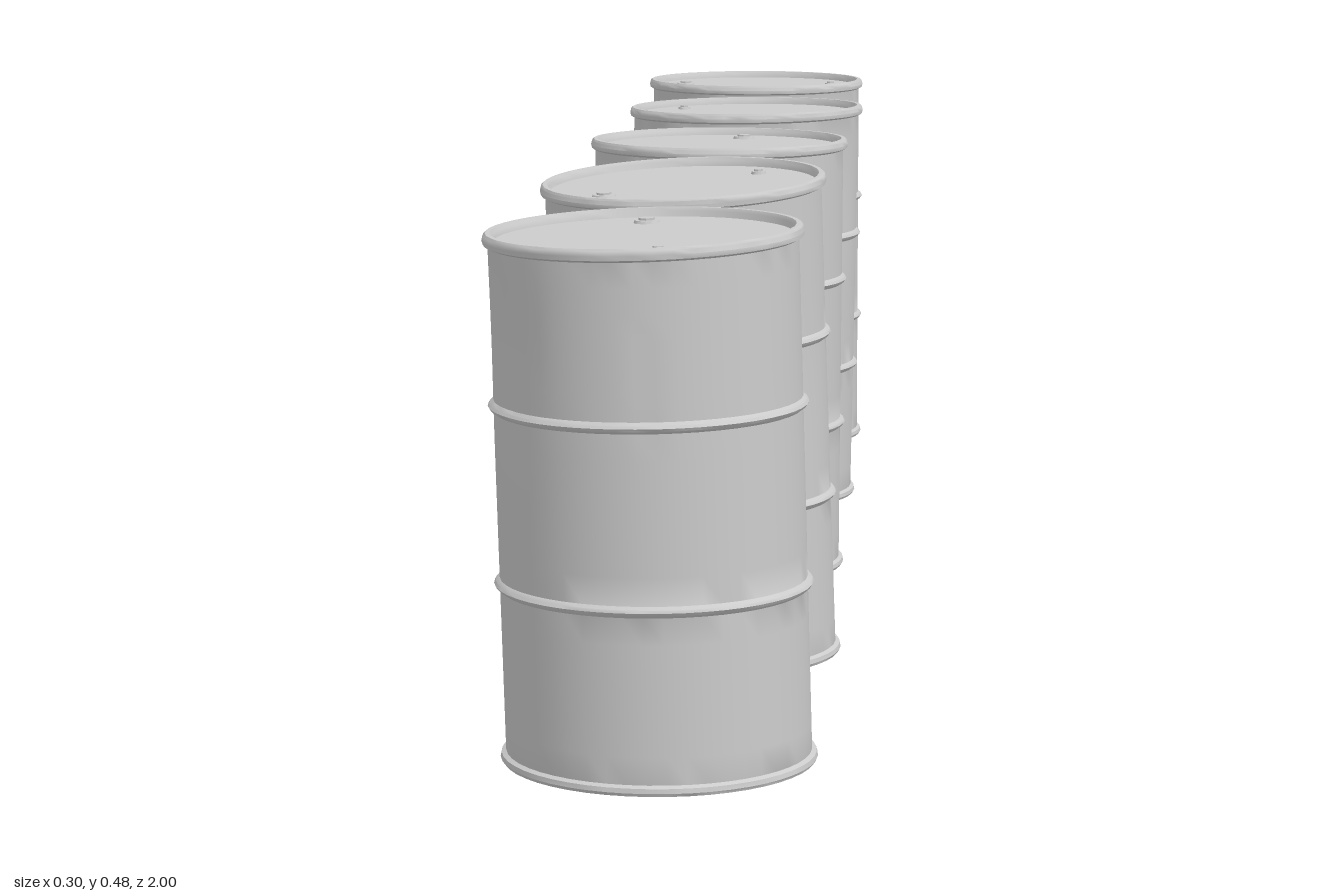
import * as THREE from 'three';
import { toCreasedNormals } from 'three/addons/utils/BufferGeometryUtils.js';

const HEIGHT = 0.467, LID = 0.459;
const RIBS = [0.158, 0.315];

// z: centre; base/top: sideways shift [x, z] at floor and lid; tilt: lid slope [x, z]
// bung/vent: cap positions on the lid; dents: [angle, height, depth, angular spread, height spread]
const DRUMS = [
  { z: -0.861, base: [0, 0], top: [0, 0], tilt: [0, 0],
    bung: [-0.092, 0.004], vent: [0.097, 0.0], dents: [] },
  { z: -0.43, base: [0.002, 0], top: [0.01, 0.002], tilt: [0.01, 0.005],
    bung: [0.08, 0.06], vent: [-0.078, -0.052], dents: [[0.6, 0.4, 0.004, 0.4, 0.07]] },
  { z: 0.003, base: [0, 0], top: [0.003, 0], tilt: [0, 0.005],
    bung: [0.022, -0.085], vent: [-0.022, 0.097], dents: [[-2.6, 0.39, 0.007, 0.35, 0.08]] },
  { z: 0.43, base: [0.009, -0.003], top: [-0.007, 0.004], tilt: [0.04, -0.05],
    bung: [-0.072, 0.056], vent: [0.07, -0.064], dents: [[0.9, 0.3, 0.004, 0.5, 0.1]] },
  { z: 0.857, base: [0.001, 0], top: [-0.012, 0.003], tilt: [0.03, -0.02],
    bung: [-0.004, -0.09], vent: [0.02, 0.096], dents: [[-0.7, 0.4, 0.006, 0.35, 0.07], [2.6, 0.38, 0.004, 0.3, 0.06]] },
];

// Outline from the centre of the floor, up the wall, to the centre of the lid
function drumProfile() {
  const p = [[0, 0.004], [0.129, 0.004], [0.131, 0], [0.137, 0], [0.139, 0.003], [0.138, 0.007], [0.134, 0.009]];
  let from = 0.009;
  for (const end of [...RIBS, LID + 0.001]) {
    const to = end - 0.005;
    for (let i = 1; i <= 6; i++) p.push([0.134, from + (to - from) * i / 6]);
    if (RIBS.includes(end)) {
      p.push([0.1375, end - 0.0025], [0.139, end], [0.1375, end + 0.0025], [0.134, end + 0.005]);
    }
    from = end + 0.005;
  }
  p.push([0.138, 0.457], [0.139, 0.461], [0.138, 0.465], [0.136, HEIGHT], [0.132, HEIGHT], [0.13, 0.464], [0.129, LID], [0, LID]);
  return p.map(([r, y]) => new THREE.Vector2(r, y));
}

// Lean, tilt and dent a geometry given in the drum's own coordinates
function batter(geometry, drum) {
  const pos = geometry.attributes.position;
  for (let i = 0; i < pos.count; i++) {
    let x = pos.getX(i), y = pos.getY(i), z = pos.getZ(i);
    const t = y / HEIGHT, r = Math.hypot(x, z), angle = Math.atan2(z, x);
    const lift = (drum.tilt[0] * x + drum.tilt[1] * z) * t * t;
    let push = 0;
    for (const [a, h, depth, spread, rise] of drum.dents) {
      const da = Math.atan2(Math.sin(angle - a), Math.cos(angle - a)) / spread;
      const dh = (y - h) / rise;
      push += depth * Math.exp(-da * da - dh * dh);
    }
    if (r > 0.12) {
      x *= 1 - push / r;
      z *= 1 - push / r;
    }
    x += drum.base[0] * (1 - t) + drum.top[0] * t;
    z += drum.base[1] * (1 - t) + drum.top[1] * t;
    pos.setXYZ(i, x, y + lift, z);
  }
  return toCreasedNormals(geometry, 0.7);
}

export function createModel() {
  const model = new THREE.Group();
  model.name = 'drumRow';
  const steel = new THREE.MeshStandardMaterial({ color: 0xcccccc });
  const profile = drumProfile();

  DRUMS.forEach((drum, n) => {
    const group = new THREE.Group();
    group.name = `drum${n + 1}`;
    group.position.z = drum.z;
    const add = (name, geometry) => {
      const mesh = new THREE.Mesh(batter(geometry, drum), steel);
      mesh.name = name;
      group.add(mesh);
    };

    // Shell with rolled rims, two ribs, floor and recessed lid
    add('shell', new THREE.LatheGeometry(profile, 48));

    // Screw caps: a collar with a smaller raised plug
    for (const [name, [x, z], r] of [['bung', drum.bung, 0.012], ['vent', drum.vent, 0.0075]]) {
      add(`${name}Collar`, new THREE.CylinderGeometry(r * 0.9, r, 0.003, 16).translate(x, LID + 0.001, z));
      add(`${name}Plug`, new THREE.CylinderGeometry(r * 0.6, r * 0.6, 0.003, 8).translate(x, LID + 0.003, z));
    }
    model.add(group);
  });
  return model;
}
